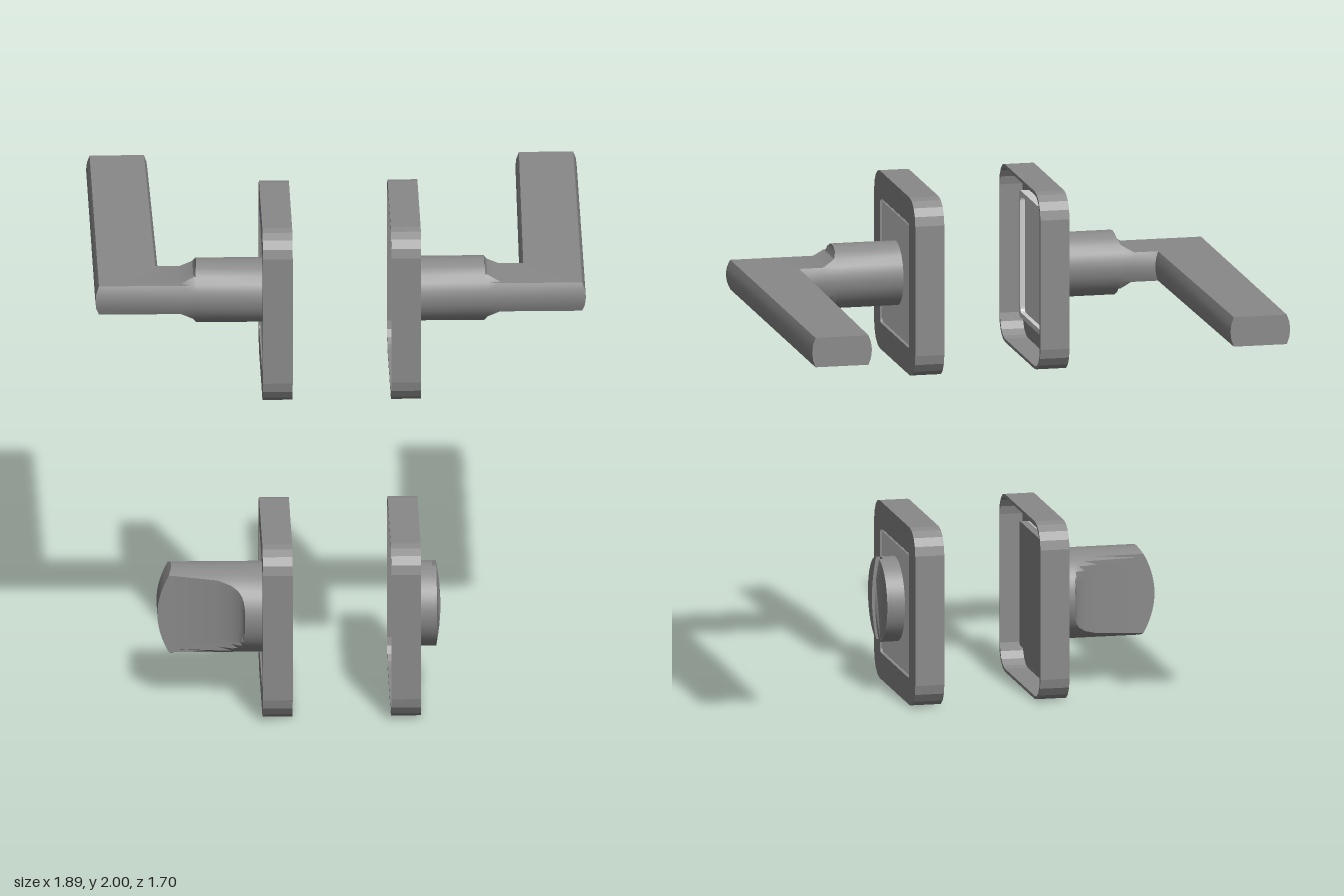
import * as THREE from 'three';
import { toCreasedNormals } from 'three/addons/utils/BufferGeometryUtils.js';

const dark = new THREE.MeshStandardMaterial({ color: 0x898989 });
const light = new THREE.MeshStandardMaterial({ color: 0xcccccc });

function add(parent, name, geometry, material = dark) {
  const mesh = new THREE.Mesh(geometry, material);
  mesh.name = name;
  parent.add(mesh);
  return mesh;
}

// Square outline with rounded corners, centred on the origin
function square(size, r, Type = THREE.Shape) {
  const s = new Type(), c = size / 2 - r;
  s.absarc(c, c, r, 0, Math.PI / 2);
  s.absarc(-c, c, r, Math.PI / 2, Math.PI);
  s.absarc(-c, -c, r, Math.PI, Math.PI * 1.5);
  s.absarc(c, -c, r, Math.PI * 1.5, Math.PI * 2);
  s.closePath();
  return s;
}

// Extrude a shape along +x from x0 to x1
function slab(shape, x0, x1, hole, bevel = 0) {
  if (hole) shape.holes.push(hole);
  const g = new THREE.ExtrudeGeometry(shape, {
    depth: x1 - x0 - bevel, curveSegments: 2, bevelEnabled: bevel > 0,
    bevelSize: bevel, bevelThickness: bevel, bevelOffset: -bevel, bevelSegments: 3,
  });
  return g.rotateY(Math.PI / 2).translate(x0, 0, 0);
}

// Round bar along +x whose top and bottom are cut away by a concave fillet,
// leaving a blade of half thickness hMin. tail maps w to [x, z] for later stations.
function cutBar({ R, hMin, x0, filletX, filletR, sideSegs, topSegs, tail }) {
  const a = Math.asin(hMin / R), half = [];
  for (let i = 0; i < sideSegs; i++) half.push(a * i / sideSegs);
  for (let i = 0; i <= topSegs; i++) half.push(a + (Math.PI - 2 * a) * i / topSegs);
  for (let i = 1; i <= sideSegs; i++) half.push(Math.PI - a + a * i / sideSegs);
  const M = half.length - 1, N = 2 * M;
  const angles = [...half, ...half.slice(1, M).reverse().map(t => -t)];

  const stations = [{ h: R, at: w => [x0, w] }];
  for (let k = topSegs / 2; k >= 0; k--) {
    const h = R * Math.sin(a + (Math.PI - 2 * a) * k / topSegs);
    const t = Math.asin(Math.min(1, (R - h) / (R - hMin)));
    const x = filletX - filletR * Math.cos(t);
    stations.push({ h, at: w => [x, w] });
  }
  tail.forEach(at => stations.push({ h: hMin, at }));

  const pos = [], index = [];
  stations.forEach(({ h, at }, s) => angles.forEach((t, i) => {
    const [x, z] = at(R * Math.cos(t));
    pos.push(x, THREE.MathUtils.clamp(R * Math.sin(t), -h, h), z);
    if (s === stations.length - 1) return;
    const j = (i + 1) % N, A = s * N + i, B = s * N + j;
    index.push(A, A + N, B + N, A, B + N, B);
  }));
  // End cap in strips from side to side
  const e = (stations.length - 1) * N;
  for (let i = 0; i < M; i++) {
    const p = e + i, q = e + (N - i) % N, p1 = e + i + 1, q1 = e + N - i - 1;
    index.push(q1, p1, p, q1, p, q);
  }
  const g = new THREE.BufferGeometry();
  g.setAttribute('position', new THREE.Float32BufferAttribute(pos, 3));
  g.setIndex(index);
  return toCreasedNormals(g, 0.6);
}

// Hollow square cover with an inset bevelled panel
function rosette(openBack) {
  const g = new THREE.Group();
  g.name = 'rosette';
  add(g, 'coverWall', slab(square(0.7, 0.095), 0.19, 0.305, square(0.676, 0.085, THREE.Path)));
  add(g, 'coverFace', slab(square(0.69, 0.09), 0.28, 0.305, square(0.492, 0.015, THREE.Path)));
  add(g, 'insetPanel', slab(square(0.49, 0.015), 0.275, 0.3, null, 0.012), light);
  if (openBack) add(g, 'trayRim', slab(square(0.5, 0.02), 0.245, 0.282, square(0.46, 0.02, THREE.Path)), light);
  else add(g, 'backPlate', slab(square(0.49, 0.015), 0.245, 0.282));
  return g;
}

function lever() {
  return cutBar({
    R: 0.125, hMin: 0.058, x0: 0.29, filletX: 0.615, filletR: 0.06, sideSegs: 2, topSegs: 8,
    tail: [
      w => [0.82 + w, w],                       // mitred corner
      w => [0.827 + 0.945 * w, -1.345],         // free end, slightly narrower
    ],
  }).translate(0, 0.002, -0.005);
}

// Thumb turn: round stem narrowing to a grip with a domed end
function thumbTurn() {
  const R = 0.175;
  return cutBar({
    R, hMin: 0.08, x0: 0.29, filletX: 0.64, filletR: 0.27, sideSegs: 4, topSegs: 16,
    tail: [w => [0.705 - 0.055 * (w / R) ** 2, w]],
  }).rotateX(Math.PI / 2).translate(0, 0.005, 0.005);
}

// Emergency release: disc with a coin slot between two domed halves
function release() {
  const g = new THREE.Group(), R = 0.165, gap = 0.026;
  g.name = 'coinRelease';
  g.position.set(0, 0.015, 0.01);
  add(g, 'disc', new THREE.CylinderGeometry(R, R, 0.06, 40).rotateZ(-Math.PI / 2).translate(0.325, 0, 0));
  const a = Math.acos(gap / R), pts = [];
  for (let i = 0; i <= 20; i++) {
    const t = -a + 2 * a * i / 20;
    pts.push(new THREE.Vector2(R * Math.cos(t), R * Math.sin(t)));
  }
  for (let i = 1; i < 12; i++) pts.push(new THREE.Vector2(gap, R * Math.sin(a) * (1 - i / 6)));
  for (const turn of [0, Math.PI]) {
    const half = slab(new THREE.Shape(pts), 0.35, 0.387);
    const p = half.attributes.position;
    for (let i = 0; i < p.count; i++) {
      if (p.getX(i) > 0.37) p.setX(i, 0.387 - 0.017 * (p.getY(i) ** 2 + p.getZ(i) ** 2) / R ** 2);
    }
    add(g, 'slotHalf', toCreasedNormals(half.rotateX(turn), 0.5));
  }
  return g;
}

export function createModel() {
  const model = new THREE.Group();
  model.name = 'doorHandleSet';
  for (const side of [1, -1]) {
    const upper = new THREE.Group(), lower = new THREE.Group();
    upper.name = side > 0 ? 'leftHandle' : 'rightHandle';
    lower.name = side > 0 ? 'leftLock' : 'rightLock';
    upper.position.set(0, 1.65, 0.5);
    lower.position.set(0, 0.35, 0.5);
    upper.scale.x = lower.scale.x = side;
    upper.add(rosette(side < 0));
    add(upper, 'lever', lever());
    lower.add(rosette(false));
    if (side > 0) lower.add(release());
    else add(lower, 'thumbTurn', thumbTurn());
    model.add(upper, lower);
  }
  return model;
}
